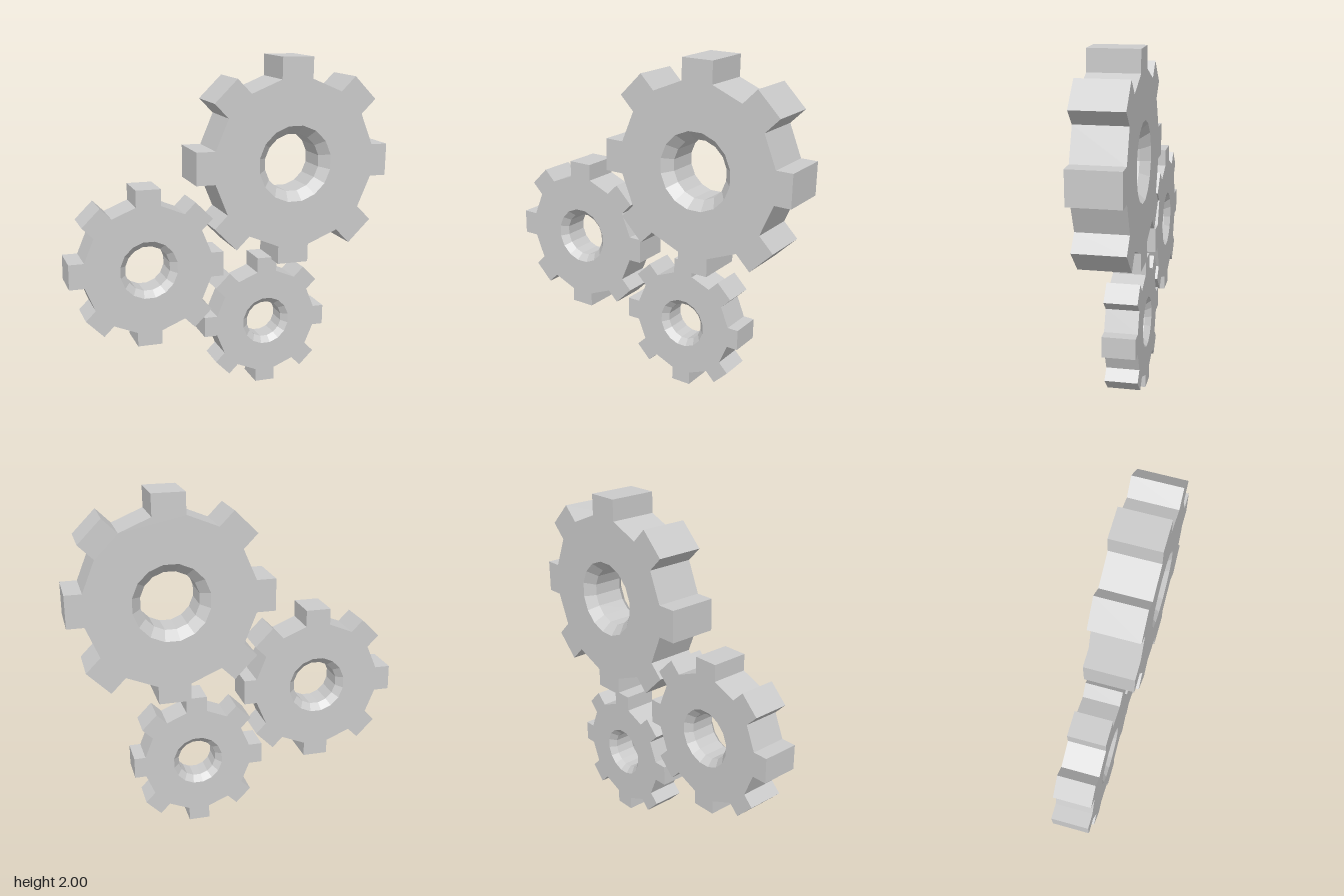
import * as THREE from 'three';
import { mergeGeometries } from 'three/addons/utils/BufferGeometryUtils.js';

const material = new THREE.MeshStandardMaterial({ color: 0xcccccc, flatShading: true });
const BACK = -0.145;

// Toothed outline, counter-clockwise; one straight-sided tooth every 45 degrees
function toothOutline(root, tips, width, turn) {
  const points = [];
  tips.forEach((tip, i) => {
    const angle = turn + (i * Math.PI * 2) / tips.length;
    const h = width / 2;
    for (const [along, across] of [[root, -h], [tip, -h], [tip, h], [root, h]]) {
      points.push(new THREE.Vector2(along, across).rotateAround(new THREE.Vector2(), angle));
    }
  });
  return points;
}

// Sixteen-sided ring, clockwise so that its walls face the axis
function boreRing(radius) {
  return Array.from({ length: 16 }, (_, i) => {
    const a = (-(i + 0.5) * Math.PI) / 8;
    return new THREE.Vector2(radius * Math.cos(a), radius * Math.sin(a));
  });
}

// Wall between two matching outlines at depths z0 and z1
function wall(loop0, z0, loop1, z1) {
  const pos = [];
  loop0.forEach((a, i) => {
    const j = (i + 1) % loop0.length;
    const b = loop0[j], c = loop1[j], d = loop1[i];
    pos.push(a.x, a.y, z0, b.x, b.y, z0, c.x, c.y, z1);
    pos.push(a.x, a.y, z0, c.x, c.y, z1, d.x, d.y, z1);
  });
  const g = new THREE.BufferGeometry();
  g.setAttribute('position', new THREE.Float32BufferAttribute(pos, 3));
  return g;
}

// Flat face with the bore cut out
function face(outline, hole, z, flip) {
  const shape = new THREE.Shape(outline);
  shape.holes.push(new THREE.Path(hole));
  const g = new THREE.ShapeGeometry(shape);
  if (flip) g.setIndex(Array.from(g.index.array).reverse());
  g.translate(0, 0, z);
  const flat = g.toNonIndexed();
  flat.deleteAttribute('uv');
  flat.deleteAttribute('normal');
  return flat;
}

function makeGear({ name, x, y, front, root, tips, width, turn, rim, bore }) {
  const outline = toothOutline(root, tips, width, turn);
  const outer = boreRing(rim), inner = boreRing(bore);
  const bevel = rim - bore;
  const geometry = mergeGeometries([
    face(outline, outer, front, false),
    face(outline, outer, BACK, true),
    wall(outline, BACK, outline, front),
    // bore with a chamfer at each end
    wall(outer, BACK, inner, BACK + bevel),
    wall(inner, BACK + bevel, inner, front - bevel),
    wall(inner, front - bevel, outer, front),
  ]);
  geometry.computeVertexNormals();
  const mesh = new THREE.Mesh(geometry, material);
  mesh.name = name;
  mesh.position.set(x, y, 0);
  return mesh;
}

// Tooth tip radii run counter-clockwise from the right-hand tooth
const gears = [
  {
    name: 'largeGear', x: 0.37, y: 1.383, front: 0.145, root: 0.49, width: 0.191, turn: -0.011,
    tips: [0.589, 0.611, 0.616, 0.61, 0.604, 0.6, 0.598, 0.612], rim: 0.227, bore: 0.172,
  },
  {
    name: 'mediumGear', x: -0.5, y: 0.805, front: 0.075, root: 0.375, width: 0.147, turn: -0.009,
    tips: [0.45, 0.467, 0.473, 0.468, 0.464, 0.457, 0.459, 0.461], rim: 0.172, bore: 0.134,
  },
  {
    name: 'smallGear', x: 0.235, y: 0.395, front: 0.045, root: 0.315, width: 0.122, turn: -0.011,
    tips: [0.381, 0.398, 0.405, 0.398, 0.394, 0.392, 0.394, 0.394], rim: 0.148, bore: 0.113,
  },
];

export function createModel() {
  const group = new THREE.Group();
  group.name = 'gears';
  for (const gear of gears) group.add(makeGear(gear));
  return group;
}
